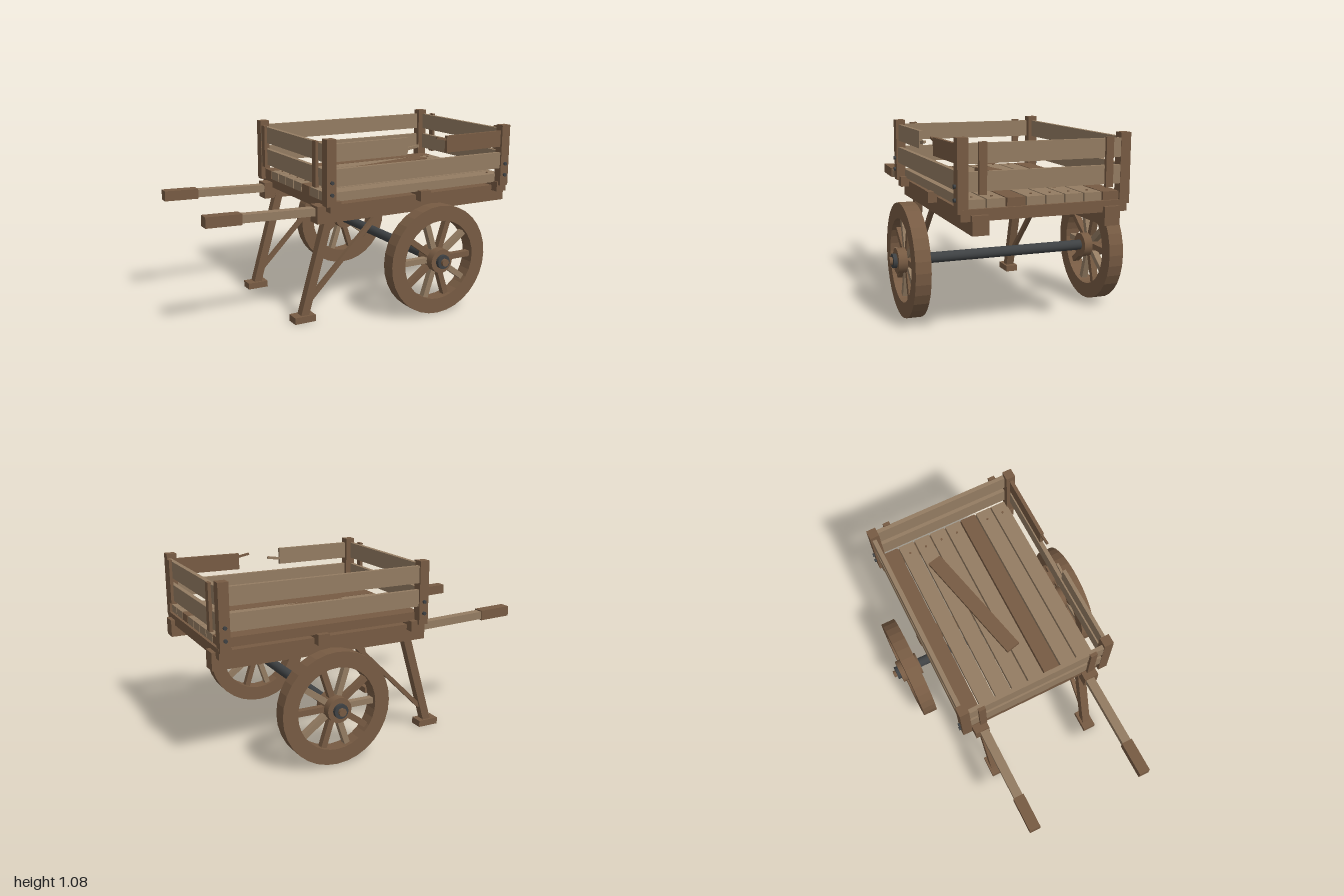
import * as THREE from 'three';

const mat = (name, color) => {
  const m = new THREE.MeshStandardMaterial({ color });
  m.name = name;
  return m;
};

export function createModel() {
  const dark = mat('darkWood', 0x775b43);
  const light = mat('lightWood', 0x947c62);
  const iron = mat('iron', 0x3e4143);
  const cart = new THREE.Group();
  cart.name = 'handCart';

  const add = (name, geo, material, parent = cart) => {
    const m = new THREE.Mesh(geo, material);
    m.name = name;
    parent.add(m);
    return m;
  };
  // Box given by its limits on each axis
  const box = (name, material, [x0, x1], [y0, y1], [z0, z1], parent = cart) => {
    const m = add(name, new THREE.BoxGeometry(x1 - x0, y1 - y0, Math.abs(z1 - z0)), material, parent);
    m.position.set((x0 + x1) / 2, (y0 + y1) / 2, (z0 + z1) / 2);
    return m;
  };
  // Bar between two points in a plane of constant z
  const bar = (name, material, [x0, y0], [x1, y1], z, thick, depth) => {
    const m = add(name, new THREE.BoxGeometry(Math.hypot(x1 - x0, y1 - y0), thick, depth), material);
    m.position.set((x0 + x1) / 2, (y0 + y1) / 2, z);
    m.rotation.z = Math.atan2(y1 - y0, x1 - x0);
    return m;
  };
  // Cylinder along z
  const rod = (name, material, r, z0, z1, sides = 16, parent = cart) => {
    const geo = new THREE.CylinderGeometry(r, r, Math.abs(z1 - z0), sides).rotateX(Math.PI / 2);
    const m = add(name, geo, material, parent);
    m.position.z = (z0 + z1) / 2;
    return m;
  };

  // Cross beams under the floor
  for (const x of [-0.255, 0.357, 0.935])
    box('crossBeam', dark, [x - 0.036, x + 0.036], [0.66, 0.722], [-0.467, 0.467]);

  // Floor planks with nails at both ends
  for (let i = 0; i < 8; i++) {
    const z = -0.382 + i * 0.109;
    const isDark = i === 0 || i === 5;
    box('floorPlank', isDark ? dark : light, [-0.295, 0.955], [0.715, 0.768], [z - 0.05, z + 0.05]);
    if (isDark) continue;
    for (const x of [-0.24, 0.885]) {
      const nail = add('nail', new THREE.CylinderGeometry(0.007, 0.007, 0.006, 8), dark);
      nail.position.set(x, 0.77, z);
    }
  }

  // Loose plank lying on the floor
  const loose = add('loosePlank', new THREE.BoxGeometry(0.77, 0.024, 0.09), dark);
  loose.position.set(0.387, 0.785, -0.073);
  loose.rotation.y = 0.23;

  for (const s of [-1, 1]) {
    // Long frame beams and handles
    box('sideBeam', dark, [-0.345, 0.995], [0.59, 0.693], [s * 0.325, s * 0.415]);
    bar('handleShaft', light, [-0.3, 0.655], [-0.82, 0.672], s * 0.359, 0.047, 0.054);
    bar('handleGrip', dark, [-0.79, 0.671], [-1, 0.677], s * 0.359, 0.062, 0.066);

    // Leg, foot and diagonal brace
    bar('leg', dark, [-0.245, 0.61], [-0.41, 0.035], s * 0.347, 0.05, 0.052);
    box('foot', dark, [-0.48, -0.347], [0, 0.04], [s * 0.306, s * 0.387]);
    bar('legBrace', dark, [0.11, 0.605], [-0.362, 0.13], s * 0.347, 0.026, 0.026);

    // Corner posts with bolts
    for (const x of [-0.291, 0.939]) {
      box('cornerPost', dark, [x - 0.03, x + 0.03], [0.7, 1.08], [s * 0.425, s * 0.483]);
      for (const y of [0.768, 0.838]) {
        const bolt = rod('bolt', iron, 0.011, s * 0.478, s * 0.495, 8);
        bolt.position.x = x;
        bolt.position.y = y;
      }
    }
    box('lowerSideBoard', light, [-0.27, 0.92], [0.81, 0.91], [s * 0.447, s * 0.473]);
  }

  // Whole upper board at the back, broken one at the front
  box('upperSideBoard', light, [-0.27, 0.92], [0.95, 1.052], [-0.473, -0.447]);
  box('brokenBoardLeft', light, [-0.27, 0.22], [0.95, 1.052], [0.445, 0.467]);
  bar('brokenBoardRight', dark, [0.5, 0.991], [0.92, 0.995], 0.457, 0.1, 0.022);
  bar('splinter', light, [0.21, 0.983], [0.3, 0.997], 0.456, 0.016, 0.014);
  bar('splinter', dark, [0.43, 1.033], [0.51, 1.018], 0.456, 0.013, 0.014);

  // End boards with upright battens outside
  for (const [x, d] of [[-0.306, -1], [0.954, 1]]) {
    for (const [y0, y1] of [[0.81, 0.91], [0.95, 1.052]])
      box('endBoard', light, [x - 0.013, x + 0.013], [y0, y1], [-0.43, 0.43]);
    for (const s of [-1, 1]) {
      const batten = box('endBatten', dark, [x - 0.01, x + 0.01], [0.795, 1.06], [s * 0.332, s * 0.374]);
      batten.position.x += d * 0.02;
    }
  }

  // Axle
  rod('axle', iron, 0.031, -0.54, 0.54, 20).position.set(0.355, 0.333, 0);

  // Wheels
  const rimShape = new THREE.Shape().absarc(0, 0, 0.33, 0, Math.PI * 2);
  rimShape.holes.push(new THREE.Path().absarc(0, 0, 0.24, 0, Math.PI * 2, true));
  const rimGeo = new THREE.ExtrudeGeometry(rimShape, { depth: 0.088, bevelEnabled: false, curveSegments: 16 });
  rimGeo.translate(0, 0, -0.044);
  for (const s of [-1, 1]) {
    const wheel = new THREE.Group();
    wheel.name = s > 0 ? 'frontWheel' : 'backWheel';
    wheel.position.set(0.355, 0.333, 0);
    cart.add(wheel);
    add('rim', rimGeo, dark, wheel).position.z = s * 0.58;
    for (let i = 0; i < 10; i++) {
      const a = (i * Math.PI) / 5;
      const spoke = add('spoke', new THREE.BoxGeometry(0.2, 0.034, 0.038), i % 2 ? light : dark, wheel);
      spoke.position.set(Math.cos(a) * 0.15, Math.sin(a) * 0.15, s * 0.58);
      spoke.rotation.z = a;
    }
    rod('hub', dark, 0.073, s * 0.51, s * 0.65, 16, wheel);
    rod('hubCap', iron, 0.042, s * 0.64, s * 0.672, 16, wheel);
    rod('axlePin', dark, 0.023, s * 0.66, s * 0.69, 8, wheel);
  }

  return cart;
}
